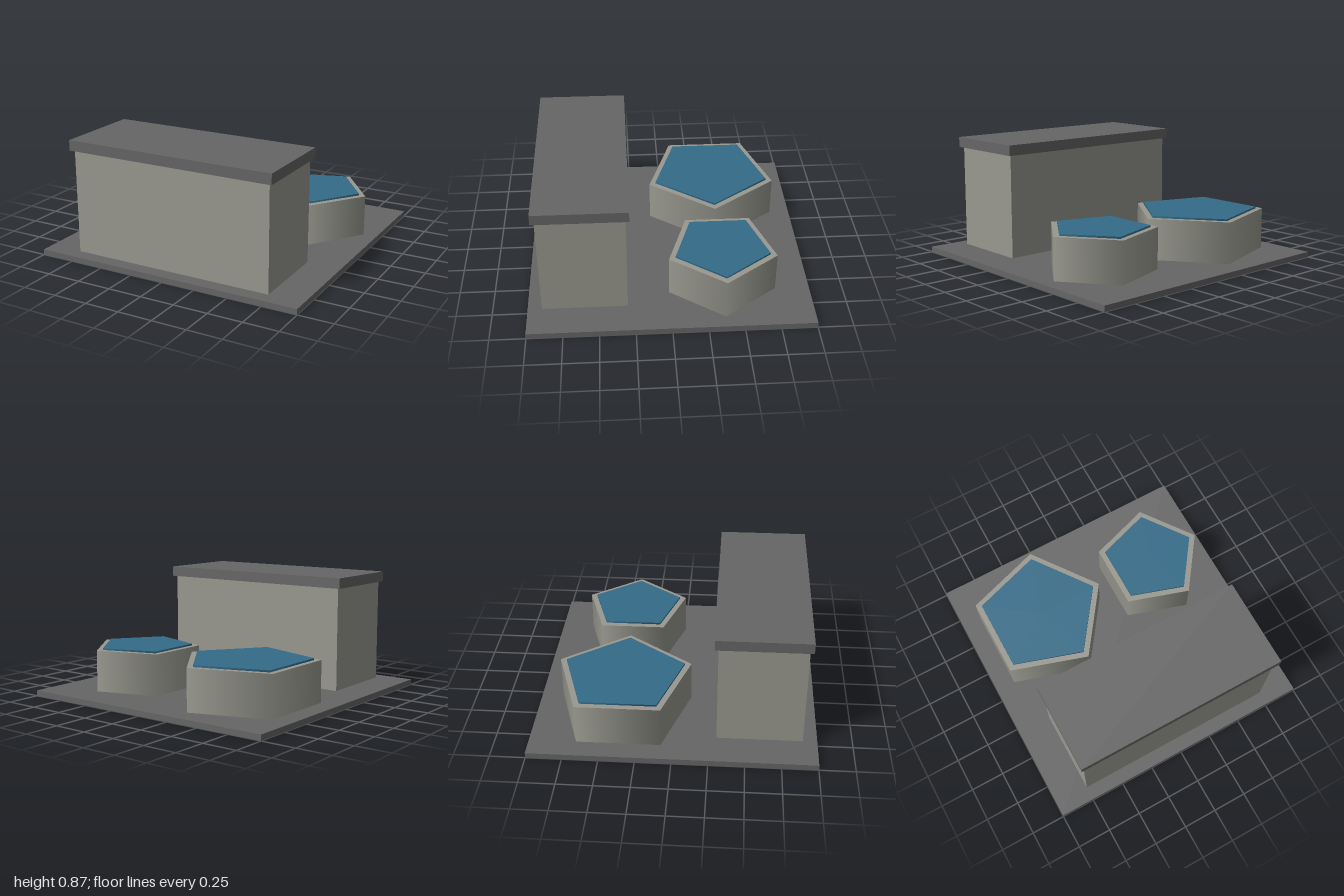
import * as THREE from 'three';

export function createModel() {
  const model = new THREE.Group();
  model.name = 'waterWorks';

  const material = (name, color) => {
    const m = new THREE.MeshStandardMaterial({ color });
    m.name = name;
    return m;
  };
  const darkGrey = material('darkGrey', 0x666666);
  const concrete = material('concrete', 0x999990);
  const waterBlue = material('waterBlue', 0x336b88);

  const add = (parent, name, geometry, mat, x, y, z) => {
    const mesh = new THREE.Mesh(geometry, mat);
    mesh.name = name;
    mesh.position.set(x, y, z);
    parent.add(mesh);
  };

  // Ground slab
  add(model, 'baseSlab', new THREE.BoxGeometry(2, 0.04, 2), darkGrey, 0, 0.02, 0);

  // Long building with an overhanging flat roof
  const building = new THREE.Group();
  building.name = 'building';
  add(building, 'walls', new THREE.BoxGeometry(1.5, 0.75, 0.6), concrete, 0, 0.415, 0.6);
  add(building, 'roof', new THREE.BoxGeometry(1.55, 0.075, 0.65), darkGrey, 0, 0.8275, 0.6);
  model.add(building);

  // Five-sided prism with one corner pointing to +x
  const pentagon = (radius, height) =>
    new THREE.CylinderGeometry(radius, radius, height, 5, 1, false, Math.PI / 2);

  // Two tanks, each with a water surface inset from the rim
  for (const [name, x, radius] of [['largeTank', -0.45, 0.5], ['smallTank', 0.5, 0.4]]) {
    const tank = new THREE.Group();
    tank.name = name;
    tank.position.set(x, 0, -0.375);
    add(tank, 'tankWall', pentagon(radius, 0.3), concrete, 0, 0.19, 0);
    add(tank, 'waterSurface', pentagon(radius - 0.05, 0.02), waterBlue, 0, 0.343, 0);
    model.add(tank);
  }

  return model;
}
